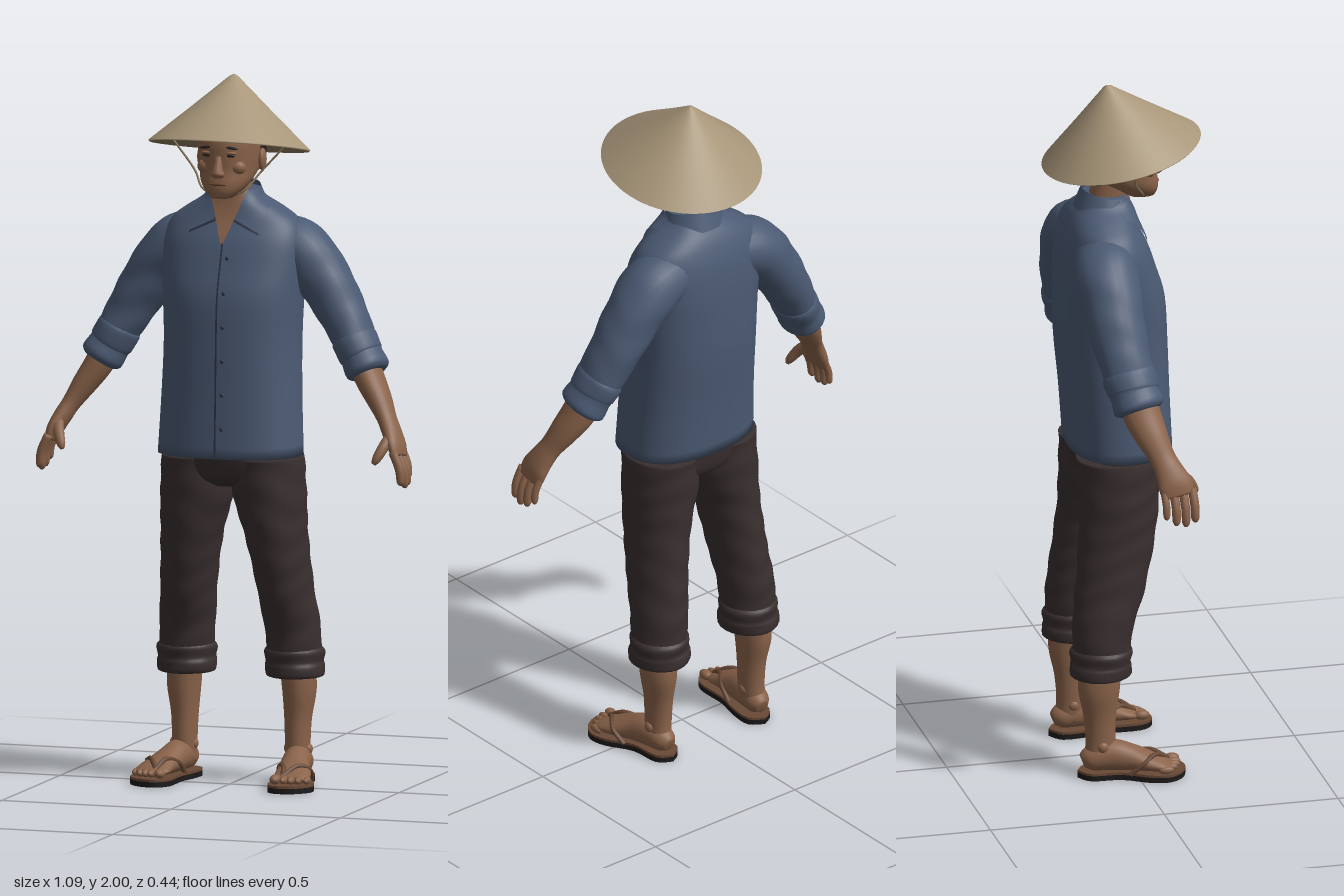
import * as THREE from 'three';

const mat = (name, color, side = THREE.FrontSide) => {
  const m = new THREE.MeshStandardMaterial({ color, side });
  m.name = name;
  return m;
};
const V = (x, y, z) => new THREE.Vector3(x, y, z);

// Catmull-Rom densify a list of [x, y, z, ru, rv] sections
function dense(rings, k = 4) {
  const out = [], at = i => rings[Math.min(Math.max(i, 0), rings.length - 1)];
  for (let i = 0; i < rings.length - 1; i++)
    for (let j = 0; j < k; j++) {
      const t = j / k, [a, b, c, d] = [at(i - 1), at(i), at(i + 1), at(i + 2)];
      out.push(b.map((q, n) => 0.5 * (2 * q + (c[n] - a[n]) * t + (2 * a[n] - 5 * q + 4 * c[n] - d[n]) * t * t
        + (3 * q - a[n] - 3 * c[n] + d[n]) * t * t * t)));
    }
  out.push(rings[rings.length - 1]);
  return out;
}

// Skin elliptical sections; flat keeps every section horizontal, folds adds cloth ripples
function loft(rings, { seg = 24, flat = false, ref = V(0, 0, 1), n = 2, folds = 0, k = 4 } = {}) {
  const R = dense(rings, k), pos = [], idx = [];
  const c = R.map(r => V(r[0], r[1], r[2]));
  const pw = q => Math.sign(q) * Math.abs(q) ** (2 / n);
  R.forEach((r, i) => {
    const T = flat ? V(0, 1, 0) : c[Math.min(i + 1, c.length - 1)].clone().sub(c[Math.max(i - 1, 0)]).normalize();
    const u = T.clone().cross(ref).normalize(), v = u.clone().cross(T);
    for (let j = 0; j < seg; j++) {
      const a = j / seg * Math.PI * 2;
      const f = 1 + folds * Math.sin(r[1] * 70 + 2 * Math.sin(a * 2 + r[1] * 9));
      const p = c[i].clone().addScaledVector(u, pw(Math.cos(a)) * r[3] * f).addScaledVector(v, pw(Math.sin(a)) * r[4] * f);
      pos.push(p.x, p.y, p.z);
    }
  });
  const last = R.length - 1, s0 = R.length * seg;
  pos.push(...c[0].toArray(), ...c[last].toArray());
  for (let j = 0; j < seg; j++) {
    const j1 = (j + 1) % seg;
    for (let i = 0; i < last; i++) {
      const a = i * seg + j, b = i * seg + j1;
      idx.push(a, a + seg, b, b, a + seg, b + seg);
    }
    idx.push(s0, j, j1, s0 + 1, last * seg + j1, last * seg + j);
  }
  return build(pos, idx);
}

function build(pos, idx) {
  const g = new THREE.BufferGeometry();
  g.setAttribute('position', new THREE.Float32BufferAttribute(pos, 3));
  g.setIndex(idx);
  g.computeVertexNormals();
  return g;
}

// Open surface from a function of (s, t)
function grid(nu, nv, fn) {
  const pos = [], idx = [];
  for (let j = 0; j <= nv; j++) for (let i = 0; i <= nu; i++) pos.push(...fn(i / nu, j / nv));
  for (let j = 0; j < nv; j++) for (let i = 0; i < nu; i++) {
    const a = j * (nu + 1) + i, d = a + nu + 1;
    idx.push(a, a + 1, d, a + 1, d + 1, d);
  }
  return build(pos, idx);
}

const TORSO = [[0, .935, -.01, .205, .145], [0, 1.1, -.02, .197, .148], [0, 1.25, -.03, .193, .153], [0, 1.38, -.035, .198, .15],
  [0, 1.47, -.047, .205, .136], [0, 1.54, -.055, .203, .12], [0, 1.59, -.06, .182, .1], [0, 1.625, -.058, .137, .085],
  [0, 1.655, -.05, .088, .07], [0, 1.68, -.045, .068, .062]];
const TORSO_N = 2.4, TORSO_DENSE = dense(TORSO);

// Depth of the shirt front at (x, y)
function frontZ(x, y) {
  const D = TORSO_DENSE;
  let i = 0;
  while (i < D.length - 2 && D[i + 1][1] < y) i++;
  const t = THREE.MathUtils.clamp((y - D[i][1]) / (D[i + 1][1] - D[i][1]), 0, 1);
  const [, , cz, rx, rz] = D[i].map((q, n) => q + (D[i + 1][n] - q) * t);
  return cz + rz * Math.max(0, 1 - Math.min(1, Math.abs(x) / rx) ** TORSO_N) ** (1 / TORSO_N);
}

// Four-cornered cloth panel laid on the shirt front
function panel(q, off, s = 1) {
  const c = q.map(([x, y]) => [x * s, y]);
  if (s < 0) c.reverse();
  const mix = (a, b, t) => a + (b - a) * t;
  return grid(10, 24, (u, v) => {
    const [x, y] = [0, 1].map(n => mix(mix(c[0][n], c[1][n], u), mix(c[3][n], c[2][n], u), v));
    return [x, y, frontZ(x, y) + off];
  });
}

export function createModel() {
  const root = new THREE.Group();
  root.name = 'farmer';
  const skin = mat('skin', 0x8a634a), shirt = mat('shirt blue', 0x4b5a73, THREE.DoubleSide);
  const seam = mat('seam dark blue', 0x2b3444), trousers = mat('trouser brown', 0x392f2f);
  const straw = mat('straw', 0xa89679), lining = mat('straw lining', 0x85745a), hair = mat('hair', 0x262020);
  const sole = mat('sole', 0x1d1a19), leather = mat('sandal brown', 0x694936), lip = mat('lips', 0x6d4336);
  const add = (name, geo, m) => {
    const o = new THREE.Mesh(geo, m);
    o.name = name;
    root.add(o);
    return o;
  };
  const ball = (name, m, p, r) => {
    const o = add(name, new THREE.SphereGeometry(1, 16, 12), m);
    o.position.set(...p);
    o.scale.set(...r);
    return o;
  };
  const tube = (name, pts, r, m) =>
    add(name, new THREE.TubeGeometry(new THREE.CatmullRomCurve3(pts.map(p => V(...p))), 20, r, 6), m);

  // Shirt body, open neck, collar, placket
  add('shirtBody', loft(TORSO, { flat: true, seg: 48, n: TORSO_N }), shirt);
  add('openNeck', panel([[-.004, 1.535], [.004, 1.535], [.056, 1.68], [-.056, 1.68]], .004), skin);
  add('placket', panel([[0, .94], [.005, .94], [.005, 1.535], [0, 1.535]], .003), seam);
  for (let i = 0; i < 6; i++) {
    const y = 1.02 + i * .095;
    ball('button', seam, [.02, y, frontZ(.02, y) + .001], [.005, .006, .003]);
  }
  add('collarBand', grid(32, 4, (u, v) => {
    const a = Math.PI / 2 + .75 + u * (2 * Math.PI - 1.5), r = 1.32 - .32 * v;
    return [Math.cos(a) * .073 * r, 1.682 - .016 * Math.sin(a) - .055 * (1 - v), -.045 + Math.sin(a) * .067 * r];
  }), shirt);

  // Neck and head
  add('neck', loft([[0, 1.58, -.05, .058, .058], [0, 1.65, -.04, .051, .055], [0, 1.73, -.02, .05, .06]], { flat: true }), skin);
  add('head', loft([[0, 1.665, .06, .03, .038], [0, 1.685, .045, .053, .06], [0, 1.71, .025, .07, .08], [0, 1.74, 0, .08, .1],
    [0, 1.78, -.008, .086, .108], [0, 1.82, -.01, .088, .11], [0, 1.86, -.015, .083, .103], [0, 1.89, -.02, .066, .082],
    [0, 1.912, -.022, .032, .04]], { flat: true, seg: 32, n: 2.2 }), skin);
  add('hair', loft([[0, 1.72, -.07, .055, .045], [0, 1.75, -.063, .08, .06], [0, 1.8, -.037, .092, .088],
    [0, 1.85, -.037, .088, .085], [0, 1.88, -.033, .07, .076], [0, 1.9, -.03, .03, .035]], { flat: true }), hair);
  add('nose', loft([[0, 1.724, .1, .013, .012], [0, 1.734, .104, .021, .018], [0, 1.748, .104, .015, .016],
    [0, 1.785, .094, .009, .01]], { flat: true, seg: 12 }), skin);
  ball('mouth', lip, [0, 1.706, .1], [.026, .005, .008]);
  ball('chin', skin, [0, 1.677, .085], [.025, .014, .018]);

  // Conical hat with a ringed lining, tilted back
  const hat = new THREE.Group();
  hat.name = 'hat';
  hat.position.set(0, 1.803, .002);
  hat.rotation.x = -.206;
  const lathe = (name, pts, m) => {
    const o = new THREE.Mesh(new THREE.LatheGeometry(pts.map(p => new THREE.Vector2(...p)), 64), m);
    o.name = name;
    hat.add(o);
  };
  lathe('hatCone', [[.223, -.004], [.227, 0], [.115, .1], [.012, .194], [0, .2]], straw);
  lathe('hatLining', [[0, .19], [.223, -.004]], lining);
  for (let i = 1; i < 8; i++) {
    const r = .028 * i, ring = new THREE.Mesh(new THREE.TorusGeometry(r, .003, 5, 40), straw);
    ring.name = 'hatRib';
    ring.rotation.x = Math.PI / 2;
    ring.position.y = .19 * (1 - r / .223) - .004;
    hat.add(ring);
  }
  root.add(hat);

  // Seat of the trousers
  add('trouserSeat', loft([[0, .845, -.03, .1, .07], [0, .875, -.03, .19, .11], [0, .96, -.025, .198, .128]],
    { flat: true, seg: 36 }), trousers);

  for (const s of [1, -1]) {
    const m = rings => rings.map(([x, ...r]) => [x * s, ...r]);

    // Face sides
    ball('eye', hair, [.034 * s, 1.787, .092], [.014, .005, .006]);
    ball('eyelid', skin, [.034 * s, 1.794, .09], [.018, .005, .009]);
    ball('brow', hair, [.036 * s, 1.809, .093], [.021, .004, .006]).rotation.z = -.12 * s;
    ball('cheek', skin, [.045 * s, 1.752, .068], [.026, .022, .022]);
    ball('ear', skin, [.09 * s, 1.765, -.02], [.011, .032, .02]);
    tube('chinStrap', m([[.17, 1.815, 0], [.095, 1.73, .02], [.062, 1.685, .05], [0, 1.659, .055]]), .003, lining);

    // Collar flap with a dark lower edge
    add('collarFlap', panel([[.03, 1.6], [.1, 1.567], [.115, 1.635], [.056, 1.682]], .01, s), shirt);
    add('collarEdge', panel([[.026, 1.594], [.103, 1.559], [.1, 1.57], [.03, 1.604]], .007, s), seam);

    // Sleeve and rolled cuff
    add('sleeve', loft(m([[.1, 1.525, -.08, .078, .085], [.18, 1.503, -.085, .085, .09], [.25, 1.425, -.083, .077, .084],
      [.31, 1.33, -.075, .067, .077], [.36, 1.24, -.058, .057, .07]]), { folds: .018, k: 8 }), shirt);
    add('sleeveCuff', loft(m([[.34, 1.274, -.066, .05, .06], [.346, 1.263, -.064, .063, .075], [.366, 1.227, -.056, .062, .074],
      [.373, 1.215, -.054, .058, .07], [.392, 1.183, -.045, .062, .073], [.399, 1.171, -.042, .048, .058]]), { folds: .012 }), shirt);

    // Forearm, palm, fingers and thumb
    add('forearm', loft(m([[.37, 1.22, -.052, .042, .055], [.4, 1.16, -.038, .04, .054], [.435, 1.105, -.018, .034, .046],
      [.465, 1.055, .003, .026, .037], [.485, 1.02, .018, .025, .041], [.503, .985, .031, .022, .049],
      [.514, .953, .038, .015, .047]])), skin);
    for (let i = 0; i < 4; i++) {
      const z = .078 - i * .027, l = [.9, 1, .95, .78][i], r = i < 3 ? .0125 : .0105;
      add('finger', loft(m([[.508, .972, z, r, r], [.508 + .022 * l, .972 - .05 * l, z + .003, r, r],
        [.508 + .027 * l, .972 - .09 * l, z + .003, r * .9, r * .9], [.508 + .026 * l, .972 - .102 * l, z + .002, r * .4, r * .4]]),
      { seg: 10 }), skin);
    }
    add('thumb', loft(m([[.492, 1.02, .035, .016, .016], [.48, .985, .073, .016, .016], [.466, .953, .094, .013, .013],
      [.459, .938, .1, .006, .006]]), { seg: 10 }), skin);

    // Trouser leg and rolled hem
    add('trouserLeg', loft(m([[.16, .34, -.095, .075, .08], [.155, .44, -.09, .078, .086], [.146, .52, -.072, .077, .097],
      [.135, .62, -.054, .08, .104], [.122, .72, -.04, .088, .11], [.107, .82, -.034, .102, .116], [.101, .93, -.03, .102, .12]]),
    { flat: true, seg: 28, folds: .014, k: 8 }), trousers);
    add('trouserHem', loft(m([[.16, .3, -.097, .07, .074], [.16, .305, -.097, .083, .086], [.159, .33, -.097, .085, .088],
      [.159, .345, -.097, .081, .084], [.159, .372, -.096, .084, .087], [.159, .388, -.095, .07, .073]]),
    { flat: true, folds: .02 }), trousers);

    // Lower leg, foot and toes
    add('lowerLeg', loft(m([[.17, .045, -.105, .034, .045], [.167, .1, -.1, .035, .042], [.167, .18, -.102, .038, .046],
      [.17, .26, -.105, .047, .059], [.165, .34, -.1, .05, .06]]), { flat: true }), skin);
    add('foot', loft(m([[.166, .048, -.152, .018, .02], [.168, .055, -.13, .034, .035], [.175, .064, -.075, .039, .045],
      [.185, .056, -.02, .042, .038], [.2, .044, .035, .05, .025], [.205, .037, .07, .051, .017], [.207, .033, .092, .04, .01]]),
    { ref: V(0, 1, 0) }), skin);
    for (let i = 0; i < 5; i++)
      ball('toe', skin, [(.17 + i * .019 + (i ? .006 : 0)) * s, .036 - i * .001, .104 - i * i * .0022],
        [i ? .01 : .015, i ? .011 : .014, .022]);
    for (const x of [.168, .235])
      ball('ankleBone', skin, [(x < .2 ? .139 : .198) * s, .095, -.1], [.012, .016, .016]);

    // Thong sandal
    const outline = new THREE.SplineCurve([[.165, -.165], [.205, -.135], [.215, -.05], [.258, .025], [.266, .08], [.232, .124],
      [.178, .135], [.144, .095], [.142, 0], [.127, -.07], [.126, -.135], [.165, -.165]]
      .map(([x, z]) => new THREE.Vector2(x * s, z))).getPoints(44);
    const slab = (name, y0, y1, material) => {
      const g = new THREE.ExtrudeGeometry(new THREE.Shape(outline), { depth: y1 - y0, bevelEnabled: false });
      add(name, g.rotateX(Math.PI / 2).translate(0, y1, 0), material);
    };
    slab('sandalSole', 0, .015, sole);
    slab('sandalFootbed', .015, .022, leather);
    tube('outerStrap', m([[.188, .045, .088], [.216, .068, .045], [.24, .054, .01], [.232, .02, -.03]]), .007, leather);
    tube('innerStrap', m([[.188, .045, .088], [.172, .068, .042], [.147, .054, .005], [.142, .02, -.03]]), .007, leather);
  }
  return root;
}
